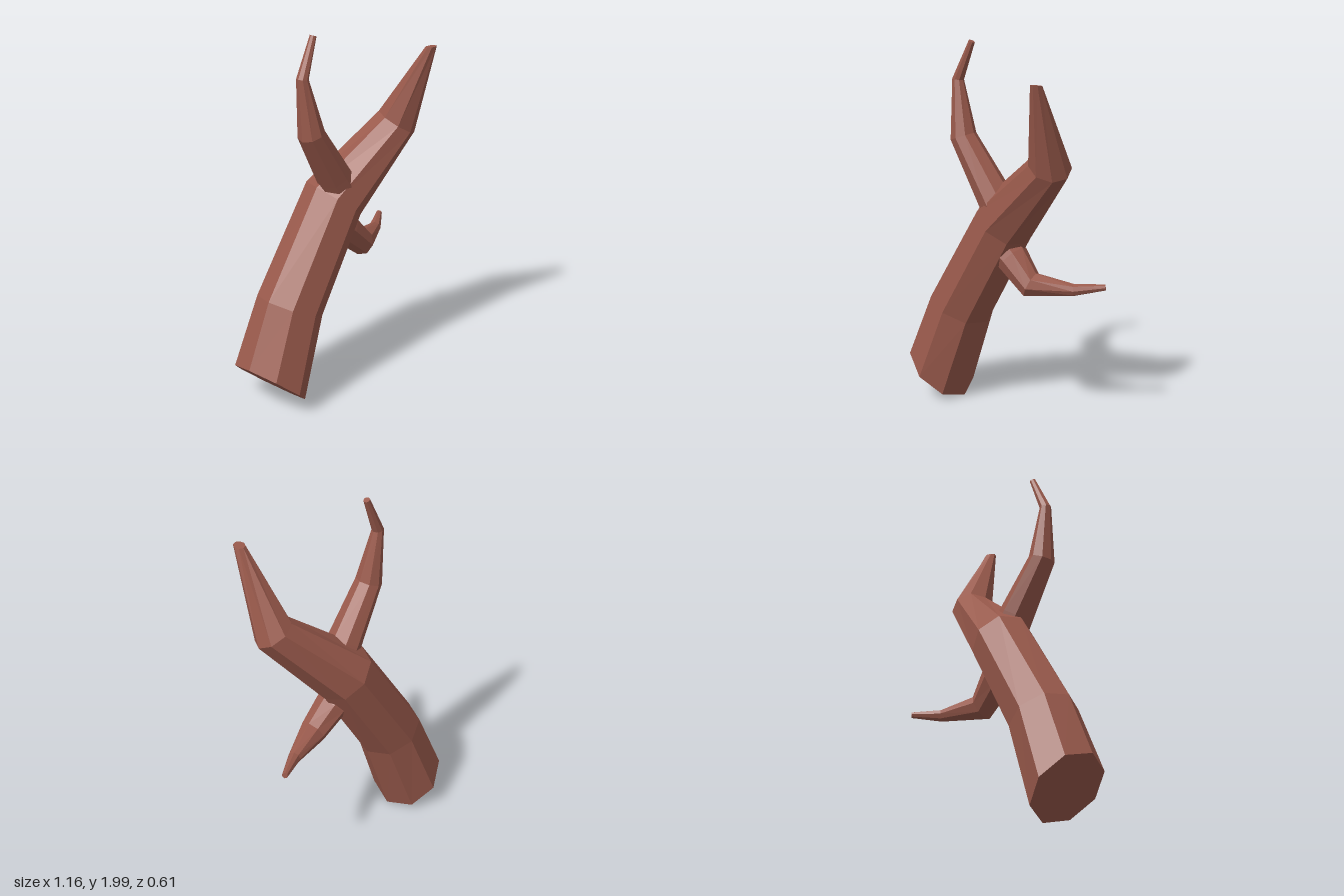
import * as THREE from 'three';

const SIDES = 8;

// Faceted, capped limb through rings of [x, y, z, radius]; optional end normals
function limb(name, rings, material, startNormal, endNormal) {
  const centres = rings.map(([x, y, z]) => new THREE.Vector3(x, y, z));
  const last = rings.length - 1;
  const step = (i) => centres[i + 1].clone().sub(centres[i]).normalize();
  const positions = [];
  const index = [];

  rings.forEach((ring, i) => {
    let n;
    if (i === 0) n = startNormal ? new THREE.Vector3(...startNormal) : step(0);
    else if (i === last) n = endNormal ? new THREE.Vector3(...endNormal) : step(last - 1);
    else n = step(i - 1).add(step(i));
    n.normalize();
    // Each ring starts at the corner nearest +z
    const u = new THREE.Vector3(0, 0, 1).addScaledVector(n, -n.z).normalize();
    const v = n.clone().cross(u);
    for (let j = 0; j < SIDES; j++) {
      const a = (j / SIDES) * Math.PI * 2;
      const p = centres[i].clone()
        .addScaledVector(u, Math.cos(a) * ring[3])
        .addScaledVector(v, Math.sin(a) * ring[3]);
      positions.push(p.x, p.y, p.z);
    }
  });

  // Side faces
  for (let i = 0; i < last; i++) {
    for (let j = 0; j < SIDES; j++) {
      const k = (j + 1) % SIDES;
      const a = i * SIDES + j, b = i * SIDES + k;
      index.push(a, b, b + SIDES, a, b + SIDES, a + SIDES);
    }
  }
  // End caps
  const top = last * SIDES;
  for (let j = 1; j < SIDES - 1; j++) {
    index.push(0, j + 1, j, top, top + j, top + j + 1);
  }

  const geometry = new THREE.BufferGeometry();
  geometry.setAttribute('position', new THREE.Float32BufferAttribute(positions, 3));
  geometry.setIndex(index);
  const flat = geometry.toNonIndexed();
  flat.computeVertexNormals();
  const mesh = new THREE.Mesh(flat, material);
  mesh.name = name;
  return mesh;
}

export function createModel() {
  const group = new THREE.Group();
  group.name = 'branch';
  const bark = new THREE.MeshStandardMaterial({ color: 0x9a5a4c, flatShading: true });

  // Leaning trunk that bends forward into a pointed tip
  group.add(limb('trunk', [
    [-0.427, 0.142, -0.093, 0.208],
    [-0.275, 0.545, -0.082, 0.18],
    [0.035, 1.065, -0.045, 0.167],
    [0.387, 1.425, 0.09, 0.11],
    [0.42, 1.86, 0.275, 0.03],
  ], bark, [0.275, 0.31, 0], [0, 1, -0.15]));

  // Upper side branch
  group.add(limb('upperBranch', [
    [0.05, 1.11, 0, 0.1],
    [-0.02, 1.22, 0, 0.092],
    [-0.197, 1.497, 0.006, 0.07],
    [-0.24, 1.79, -0.01, 0.031],
    [-0.155, 1.99, -0.013, 0.017],
  ], bark));

  // Lower side branch
  group.add(limb('lowerBranch', [
    [0.0, 0.96, -0.025, 0.09],
    [0.095, 0.88, -0.02, 0.088],
    [0.22, 0.76, -0.005, 0.072],
    [0.43, 0.75, -0.082, 0.033],
    [0.572, 0.767, -0.165, 0.016],
  ], bark));

  return group;
}
